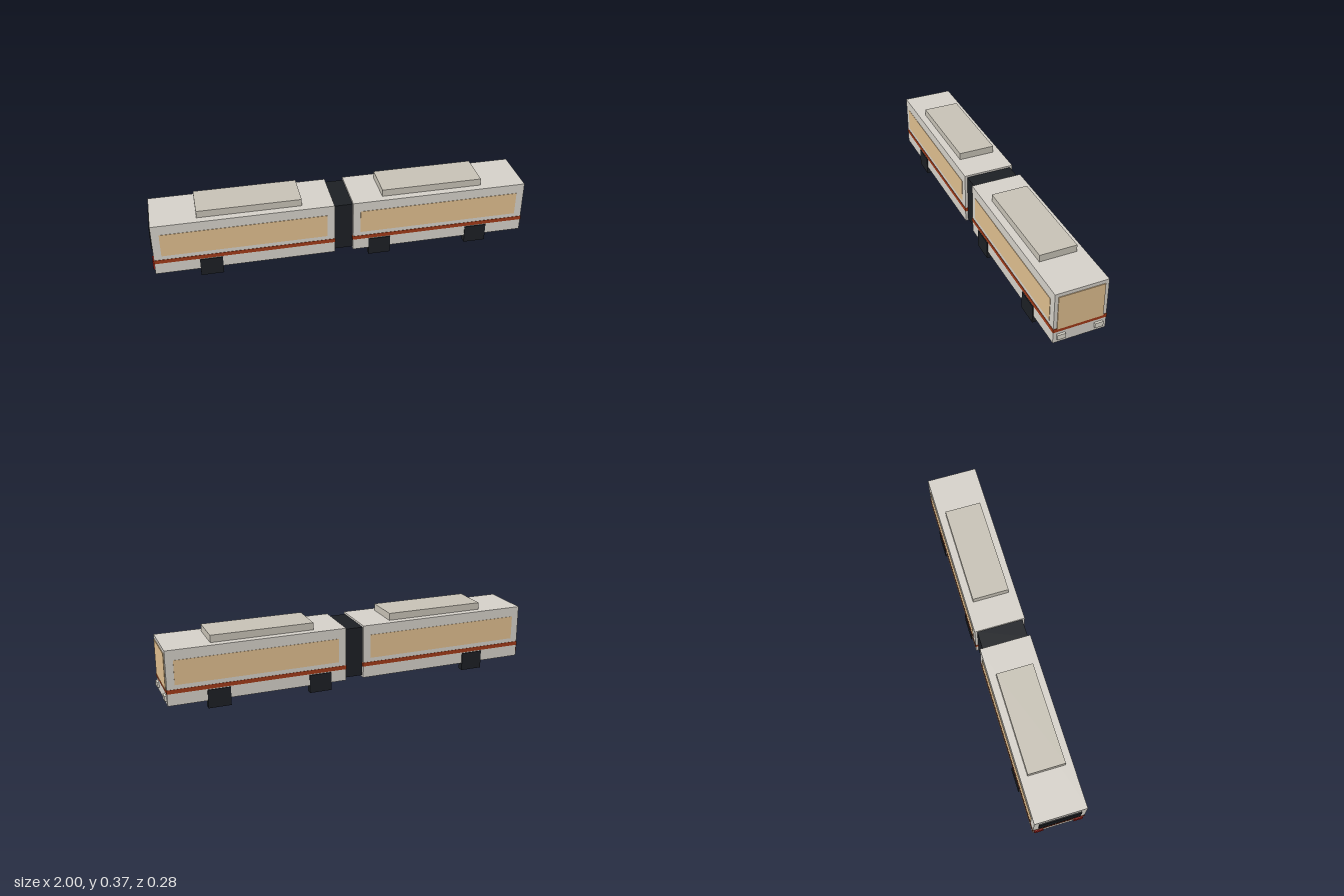
import * as THREE from 'three';

const mat = (color) => new THREE.MeshStandardMaterial({ color });

export function createModel() {
  const bus = new THREE.Group();
  bus.name = 'articulatedBus';

  const body = mat(0xd4d0c8);
  const roof = mat(0xc6c1b5);
  const glass = mat(0xdebd8e);
  const stripe = mat(0xa03a18);
  const rubber = mat(0x1c1f24);
  const dark = mat(0x14171b);
  const lamp = mat(0xdcd8cc);
  const red = mat(0xa01c14);

  // Box given by its limits along each axis
  const box = (name, material, [x0, x1], [y0, y1], [z0, z1]) => {
    const mesh = new THREE.Mesh(new THREE.BoxGeometry(x1 - x0, y1 - y0, z1 - z0), material);
    mesh.position.set((x0 + x1) / 2, (y0 + y1) / 2, (z0 + z1) / 2);
    mesh.name = name;
    bus.add(mesh);
  };
  // The same box on both sides of the bus
  const pair = (name, material, x, y, [z0, z1]) => {
    box(name + 'Left', material, x, y, [z0, z1]);
    box(name + 'Right', material, x, y, [-z1, -z0]);
  };

  // Two coaches, each with stripe, side windows and roof unit
  for (const [name, x] of [['rear', -0.522], ['front', 0.516]]) {
    const span = (half) => [x - half, x + half];
    box(name + 'Body', body, span(0.47), [0.04, 0.328], [-0.137, 0.137]);
    box(name + 'Stripe', stripe, span(0.472), [0.103, 0.124], [-0.139, 0.139]);
    pair(name + 'SideWindow', glass, span(0.43), [0.147, 0.275], [0.13, 0.139]);
    const r = x < 0 ? -0.487 : 0.481;
    box(name + 'RoofUnit', roof, [r - 0.27, r + 0.27], [0.327, 0.366], [-0.098, 0.098]);
  }

  // Flexible joint between the coaches
  box('bellows', rubber, [-0.054, 0.048], [0.05, 0.318], [-0.123, 0.123]);

  // Block-shaped wheels on three axles
  for (const [name, x] of [['rear', -0.703], ['middle', 0.19], ['front', 0.727]]) {
    pair(name + 'Wheel', rubber, [x - 0.059, x + 0.059], [0, 0.098], [0.109, 0.142]);
  }

  // Front end
  box('windshield', glass, [0.975, 0.99], [0.12, 0.309], [-0.119, 0.119]);
  pair('headlight', lamp, [0.98, 0.997], [0.061, 0.088], [0.076, 0.119]);

  // Rear end
  box('rearWindow', dark, [-0.998, -0.98], [0.175, 0.28], [-0.11, 0.11]);
  pair('tailLight', red, [-1, -0.985], [0.065, 0.115], [0.082, 0.129]);

  return bus;
}
